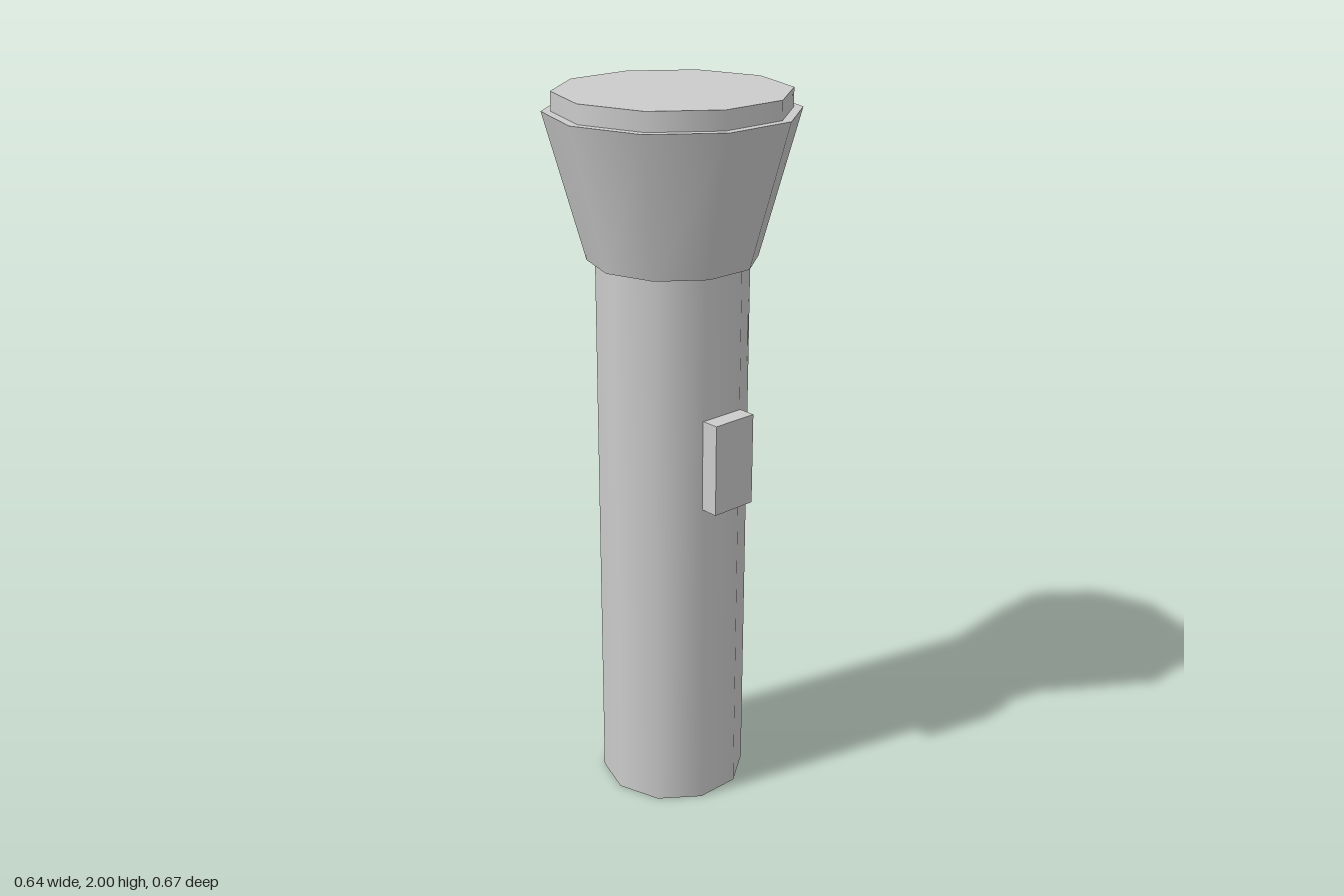
import * as THREE from 'three';

export function createModel() {
  const model = new THREE.Group();
  model.name = 'flashlight';
  const grey = new THREE.MeshStandardMaterial({ color: 0xcccccc });
  grey.name = 'grey';

  const add = (name, geometry, x, y) => {
    const mesh = new THREE.Mesh(geometry, grey);
    mesh.name = name;
    mesh.position.set(x, y, 0);
    model.add(mesh);
  };

  // Ten-sided capped section standing between two heights
  const section = (name, topRadius, bottomRadius, bottom, top) =>
    add(name, new THREE.CylinderGeometry(topRadius, bottomRadius, top - bottom, 10), 0, (bottom + top) / 2);

  section('handle', 0.206, 0.206, 0, 1.6);
  section('head', 0.336, 0.228, 1.56, 1.95);
  section('lens', 0.311, 0.311, 1.9, 2);

  // Switch, sunk into the left side of the handle
  add('switch', new THREE.BoxGeometry(0.085, 0.255, 0.134), 0.2025, 1.0425);

  return model;
}
